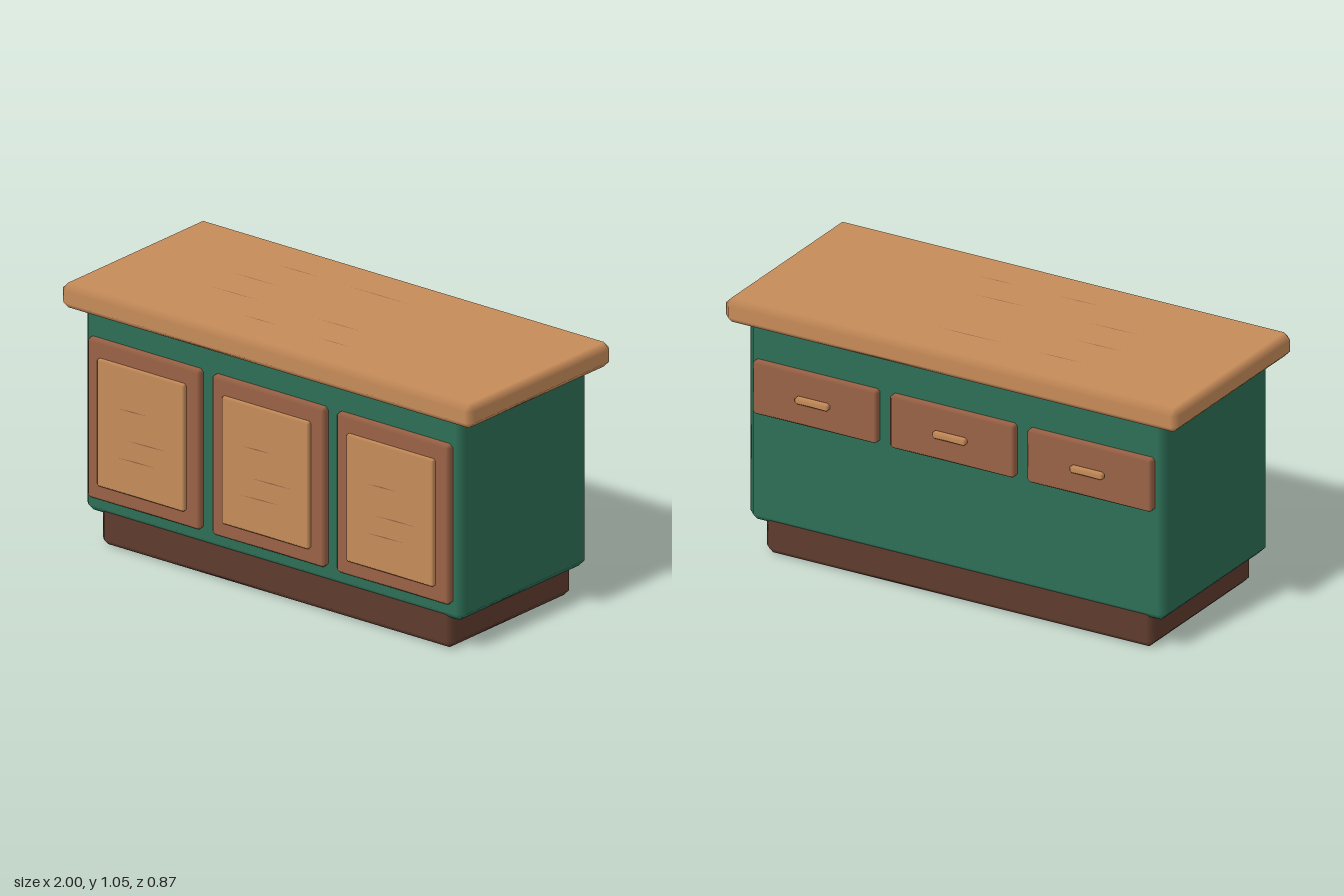
import * as THREE from 'three';
import { ConvexGeometry } from 'three/addons/geometries/ConvexGeometry.js';

const material = (name, color) => Object.assign(new THREE.MeshStandardMaterial({ color }), { name });

// Box with chamfered edges; normals stay square on the faces and blend over the chamfers
function chamferBox(w, h, d, c) {
  const half = [w / 2, h / 2, d / 2];
  const points = [];
  for (const sx of [-1, 1]) for (const sy of [-1, 1]) for (const sz of [-1, 1]) {
    for (let axis = 0; axis < 3; axis++) {
      const p = [sx, sy, sz].map((s, i) => s * (half[i] - (i === axis ? 0 : c)));
      points.push(new THREE.Vector3(...p));
    }
  }
  const geometry = new ConvexGeometry(points);
  const pos = geometry.attributes.position;
  const normal = geometry.attributes.normal;
  for (let i = 0; i < pos.count; i++) {
    const p = [pos.getX(i), pos.getY(i), pos.getZ(i)];
    const n = p.map((v, k) => (Math.abs(v) > half[k] - c * 0.5 ? Math.sign(v) : 0));
    normal.setXYZ(i, ...n);
  }
  return geometry;
}

export function createModel() {
  const lightWood = material('light wood', 0xc68b59);
  const midWood = material('mid wood', 0x996245);
  const darkWood = material('dark wood', 0x5f3b2d);
  const greenPaint = material('green paint', 0x2d6e56);

  const model = new THREE.Group();
  model.name = 'kitchenIsland';

  // Adds a chamfered block given by its [min, max] range on each axis
  function block(parent, name, mat, [x0, x1], [y0, y1], [z0, z1], chamfer) {
    const mesh = new THREE.Mesh(chamferBox(x1 - x0, y1 - y0, z1 - z0, chamfer), mat);
    mesh.position.set((x0 + x1) / 2, (y0 + y1) / 2, (z0 + z1) / 2);
    mesh.name = name;
    parent.add(mesh);
  }

  // Thin tapered grain mark lying in the xy plane
  function grainMark(parent, x0, x1, y, z) {
    const w = (x1 - x0) / 2;
    const shape = new THREE.Shape();
    shape.moveTo(-w, -0.002);
    shape.lineTo(0, -0.002);
    shape.lineTo(w, 0.002);
    shape.lineTo(0, 0.003);
    shape.closePath();
    const mesh = new THREE.Mesh(new THREE.ShapeGeometry(shape), midWood);
    mesh.position.set((x0 + x1) / 2, y, z);
    mesh.name = 'woodGrain';
    parent.add(mesh);
  }

  // Plinth, cabinet and countertop
  block(model, 'plinth', darkWood, [-0.855, 0.855], [0, 0.17], [-0.362, 0.372], 0.026);
  block(model, 'cabinet', greenPaint, [-0.92, 0.92], [0.13, 0.97], [-0.38, 0.39], 0.03);
  block(model, 'countertop', lightWood, [-1, 1], [0.945, 1.045], [-0.425, 0.435], 0.027);

  // Grain on the countertop: start x, end x, z
  const topGrain = new THREE.Group();
  topGrain.name = 'countertopGrain';
  topGrain.rotation.x = -Math.PI / 2;
  topGrain.position.y = 1.0465;
  for (const [x0, x1, z] of [
    [-0.47, -0.27, -0.228], [-0.13, 0.18, -0.228], [-0.56, -0.33, -0.06],
    [-0.53, -0.3, 0.1], [-0.01, 0.2, 0.1], [-0.26, -0.08, 0.25], [0.11, 0.27, 0.25],
  ]) grainMark(topGrain, x0, x1, -z, 0);
  model.add(topGrain);

  for (const x of [-0.605, 0, 0.605]) {
    // Front door with raised panel
    const door = new THREE.Group();
    door.name = 'door';
    door.position.x = x;
    block(door, 'doorFrame', midWood, [-0.275, 0.275], [0.2, 0.85], [0.375, 0.417], 0.013);
    block(door, 'doorPanel', lightWood, [-0.213, 0.213], [0.265, 0.783], [0.41, 0.434], 0.008);
    grainMark(door, -0.105, 0.035, 0.61, 0.4355);
    grainMark(door, -0.065, 0.135, 0.49, 0.4355);
    grainMark(door, -0.11, 0.075, 0.41, 0.4355);
    model.add(door);

    // Back drawer with bar handle
    const drawer = new THREE.Group();
    drawer.name = 'drawer';
    drawer.position.x = x;
    block(drawer, 'drawerFront', midWood, [-0.275, 0.275], [0.59, 0.81], [-0.41, -0.37], 0.011);
    block(drawer, 'drawerHandle', lightWood, [-0.075, 0.075], [0.685, 0.715], [-0.435, -0.405], 0.01);
    model.add(drawer);
  }
  return model;
}
